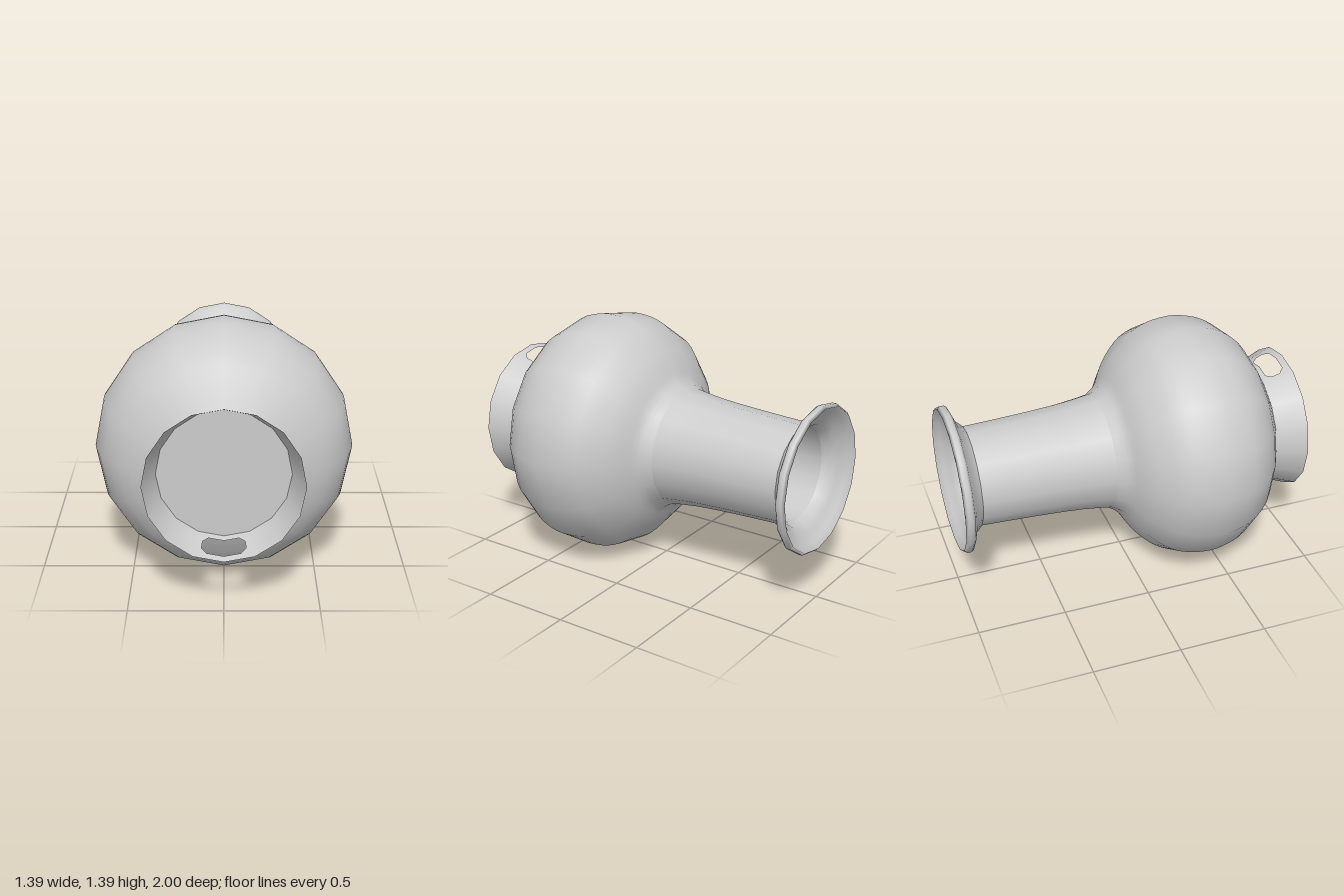
import * as THREE from 'three';

const SIDES = 16, AXIS_Y = 0.7;
const FOOT = { z0: 0.83, z1: 1, r0: 0.35, r1: 0.415 };
const material = new THREE.MeshStandardMaterial({ color: 0xcccccc, side: THREE.DoubleSide });

const toPoints = (list) => list.map(([r, z]) => new THREE.Vector2(r, z));
const smooth = (list, n) => new THREE.SplineCurve(toPoints(list)).getPoints(n);

// Profiles are [radius, z]; the turning axis lies along z
function turned(name, points) {
  const geometry = new THREE.LatheGeometry(points, SIDES);
  geometry.rotateX(Math.PI / 2);
  const mesh = new THREE.Mesh(geometry, material);
  mesh.name = name;
  return mesh;
}

// One flat panel of the flared foot; s runs across the panel, z along the axis
function footPanel(index, outline) {
  const geometry = new THREE.ShapeGeometry(new THREE.Shape(toPoints(outline)));
  const pos = geometry.attributes.position, normal = geometry.attributes.normal;
  const step = (Math.PI * 2) / SIDES;
  const a = index * step, b = a + step;
  for (let i = 0; i < pos.count; i++) {
    const s = pos.getX(i), z = pos.getY(i);
    const r = THREE.MathUtils.mapLinear(z, FOOT.z0, FOOT.z1, FOOT.r0, FOOT.r1);
    const x = THREE.MathUtils.lerp(Math.sin(a), Math.sin(b), s);
    const y = THREE.MathUtils.lerp(Math.cos(a), Math.cos(b), s);
    pos.setXYZ(i, x * r, y * r, z);
    const n = new THREE.Vector3(x, y, 0).normalize().setZ(-0.38).normalize();
    normal.setXYZ(i, n.x, n.y, n.z);
  }
  // Wind the triangles so that they face outward
  const index3 = geometry.index.array;
  const [p, q, t] = [0, 1, 2].map((k) => new THREE.Vector3().fromBufferAttribute(pos, index3[k]));
  const face = q.clone().sub(p).cross(t.clone().sub(p));
  if (face.x * p.x + face.y * p.y < 0) index3.reverse();
  return new THREE.Mesh(geometry, material);
}

function createFoot() {
  const foot = new THREE.Group();
  foot.name = 'foot';
  const { z0, z1 } = FOOT;
  const plain = [[0, z0], [1, z0], [1, z1], [0, z1]];
  // Half of a chamfered slot, cut into the s = 0 edge
  const notched = [...plain, [0, 0.963], [0.57, 0.963], [0.77, 0.935],
    [0.77, 0.89], [0.57, 0.862], [0, 0.862]];
  const mirrored = notched.map(([s, z]) => [1 - s, z]);
  for (let i = 0; i < SIDES; i++) {
    const k = i % (SIDES / 2);
    const outline = k === 0 ? notched : k === SIDES / 2 - 1 ? mirrored : plain;
    const panel = footPanel(i, outline);
    panel.name = 'footPanel';
    foot.add(panel);
  }
  return foot;
}

export function createModel() {
  const model = new THREE.Group();
  model.name = 'vase';

  // Round belly with its shoulder
  const belly = [[0.335, -0.127], [0.38, -0.062], [0.45, -0.02], [0.53, 0.035], [0.63, 0.14],
    [0.68, 0.25], [0.697, 0.37], [0.688, 0.47], [0.643, 0.6], [0.53, 0.73], [0.35, 0.83]];
  model.add(turned('belly', smooth(belly, 26)));

  // Tapered neck
  const neck = [[0.284, -0.875], [0.29, -0.7], [0.3, -0.48], [0.313, -0.29], [0.335, -0.127]];
  model.add(turned('neck', smooth(neck, 8)));

  // Flared lip, from the mouth over the rim to the neck
  const lip = [[0.265, -0.86], [0.285, -0.9], [0.325, -0.935], [0.38, -0.965], [0.402, -1],
    [0.416, -0.985], [0.416, -0.96], [0.405, -0.946], [0.325, -0.918], [0.284, -0.875]];
  model.add(turned('lip', toPoints(lip)));

  // Inner wall of the neck and belly
  const inside = [[0.33, 0.81], [0.515, 0.72], [0.625, 0.59], [0.672, 0.46], [0.68, 0.37],
    [0.662, 0.25], [0.612, 0.15], [0.515, 0.05], [0.435, -0.005], [0.36, -0.05],
    [0.317, -0.127], [0.295, -0.29], [0.28, -0.5], [0.265, -0.86]];
  model.add(turned('innerWall', smooth(inside, 30)));
  model.add(turned('innerFloor', toPoints([[0, 0.81], [0.33, 0.81]])));

  // Base disc and pierced foot ring
  model.add(turned('base', toPoints([[FOOT.r0, FOOT.z0], [0, FOOT.z0]])));
  model.add(createFoot());

  model.children.forEach((part) => { part.position.y = AXIS_Y; });
  return model;
}
